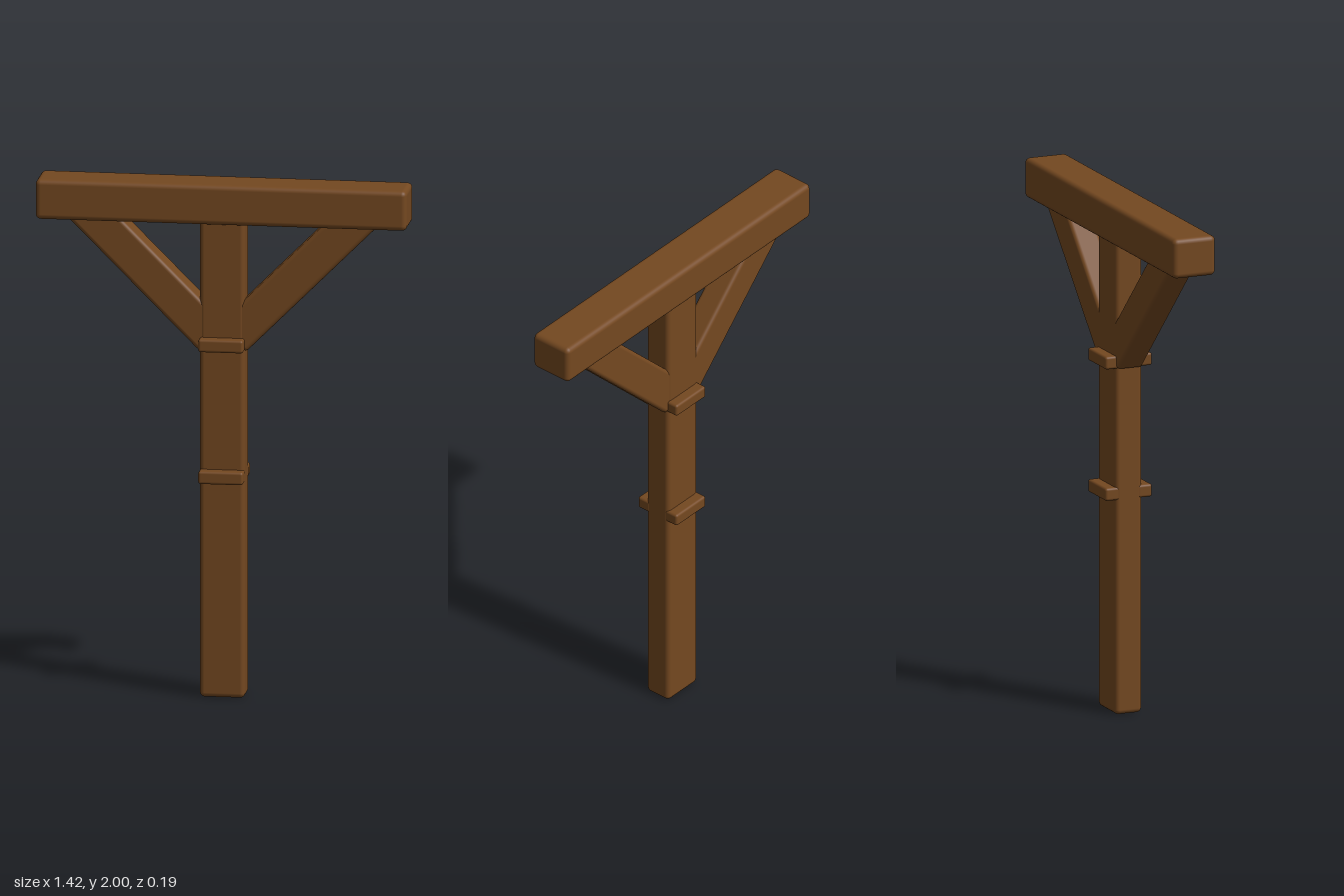
import * as THREE from 'three';
import { RoundedBoxGeometry } from 'three/addons/geometries/RoundedBoxGeometry.js';

export function createModel() {
  const model = new THREE.Group();
  model.name = 'signPost';
  const wood = new THREE.MeshStandardMaterial({ color: 0x744820 });
  wood.name = 'brown wood';

  // Softly rounded timber, placed by its centre
  function timber(name, [w, h, d], [x, y, z], radius, tilt = 0) {
    const mesh = new THREE.Mesh(new RoundedBoxGeometry(w, h, d, 3, radius), wood);
    mesh.name = name;
    mesh.position.set(x, y, z);
    mesh.rotation.z = tilt;
    model.add(mesh);
  }

  // Upright and crossbeam
  timber('post', [0.172, 1.9, 0.11], [0, 0.95, 0], 0.018);
  timber('crossbeam', [1.42, 0.155, 0.176], [0, 1.9225, 0], 0.02);

  // Diagonal braces, ends buried in the post and beam
  for (const side of [1, -1]) {
    timber(side > 0 ? 'leftBrace' : 'rightBrace',
      [0.73, 0.146, 0.106], [side * 0.295, 1.655, 0], 0.016, side * Math.PI / 4);
  }

  // Battens across the front and back of the post
  for (const y of [0.863, 1.376]) {
    for (const face of [1, -1]) {
      timber(face > 0 ? 'frontBatten' : 'backBatten',
        [0.172, 0.05, 0.06], [0, y, face * 0.067], 0.01);
    }
  }
  return model;
}
